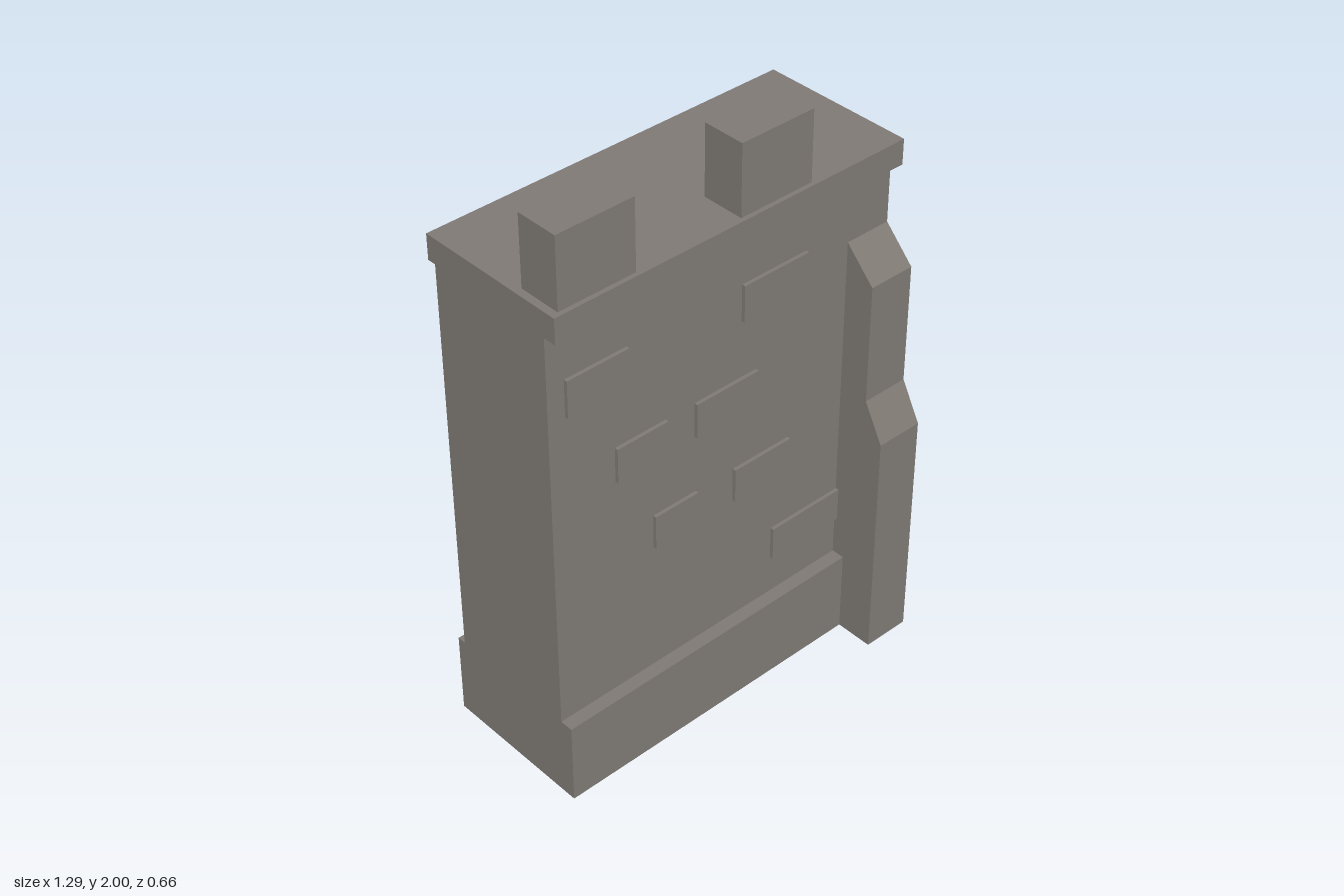
import * as THREE from 'three';

export function createModel() {
  const wall = new THREE.Group();
  wall.name = 'castleWall';
  const stone = new THREE.MeshStandardMaterial({ color: 0x7e7973 });
  stone.name = 'stone';

  const W = 0.645; // half width of the wall
  const FRONT = 0.155; // front face of the wall body

  const add = (name, geometry) => {
    const mesh = new THREE.Mesh(geometry, stone);
    mesh.name = name;
    wall.add(mesh);
    return mesh;
  };

  // Box given by its extents on each axis
  const block = (name, x0, x1, y0, y1, z0, z1) =>
    add(name, new THREE.BoxGeometry(x1 - x0, y1 - y0, z1 - z0))
      .position.set((x0 + x1) / 2, (y0 + y1) / 2, (z0 + z1) / 2);

  // Plinth, body and coping
  block('plinth', -W, W, 0, 0.29, -0.33, 0.2);
  block('wallBody', -W, W, 0.29, 1.68, -0.3, FRONT);
  block('coping', -W, W, 1.68, 1.765, -0.33, 0.2);

  // Merlons on the front edge
  for (const [x0, x1] of [[-0.62, -0.353], [0.025, 0.292]]) {
    block('merlon', x0, x1, 1.765, 2, 0.04, 0.185);
  }

  // Raised bricks: x range, then y range
  const bricks = [
    [-0.585, -0.365, 1.39, 1.515], [0.062, 0.312, 1.39, 1.515],
    [-0.415, -0.227, 1.073, 1.193], [-0.117, 0.122, 1.073, 1.193],
    [-0.277, -0.112, 0.75, 0.87], [0.036, 0.26, 0.75, 0.87],
    [0.2, 0.49, 0.43, 0.547],
  ];
  for (const [x0, x1, y0, y1] of bricks) {
    block('raisedBrick', x0, x1, y0, y1, FRONT - 0.02, FRONT + 0.012);
  }

  // Stepped buttress: side profile (z, y) extruded across x
  const profile = new THREE.Shape([
    [0.1, 0], [0.33, 0], [0.33, 0.818], [0.26, 0.947],
    [0.26, 1.358], [FRONT, 1.465], [0.1, 1.465],
  ].map(([z, y]) => new THREE.Vector2(-z, y)));
  const buttress = new THREE.ExtrudeGeometry(profile, { depth: W - 0.482, bevelEnabled: false });
  buttress.rotateY(Math.PI / 2);
  add('buttress', buttress).position.x = 0.482;

  return wall;
}
